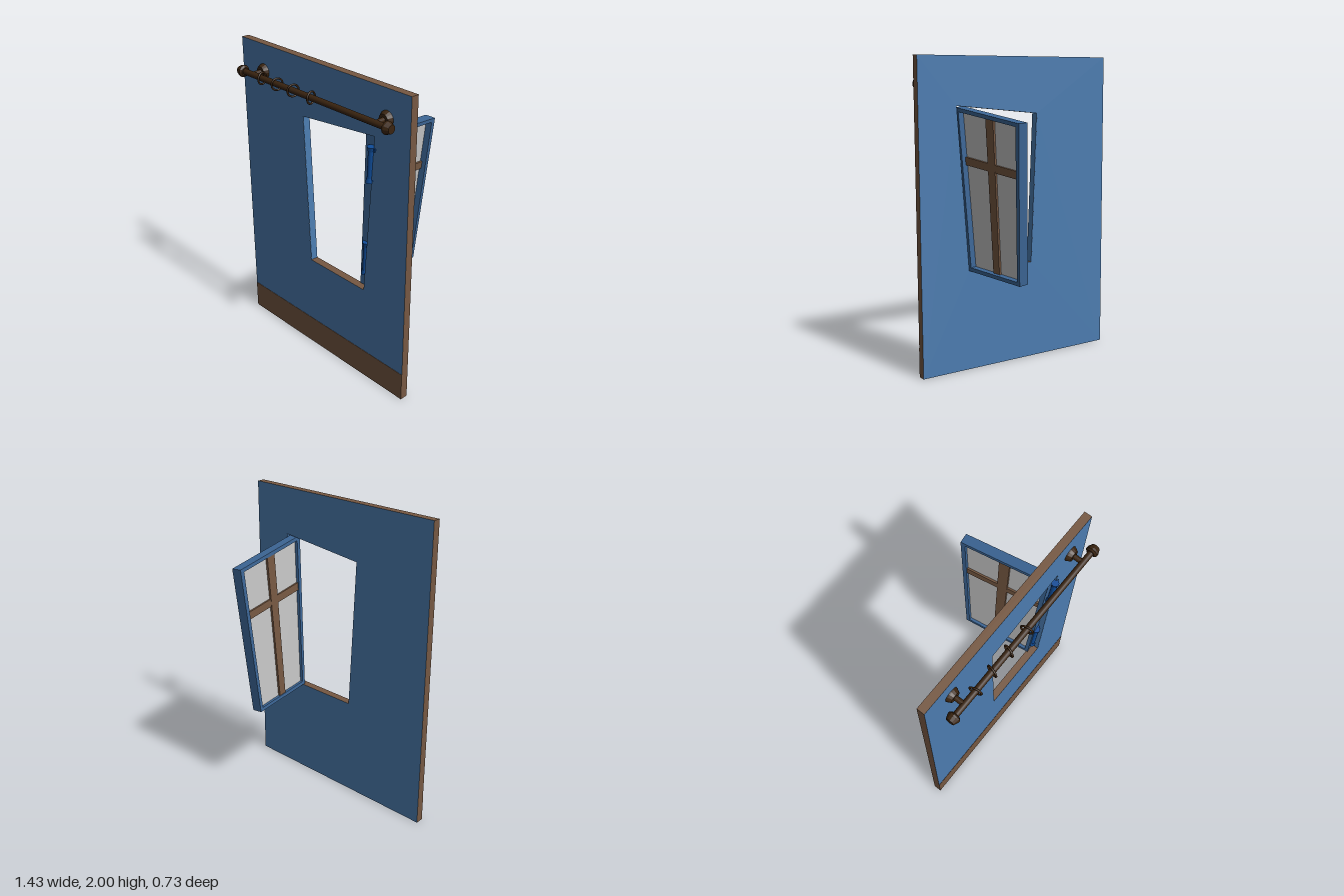
import * as THREE from 'three';

const mat = (name, color, side = THREE.FrontSide) => {
  const m = new THREE.MeshStandardMaterial({ color, side });
  m.name = name;
  return m;
};

export function createModel() {
  const root = new THREE.Group();
  root.name = 'wallWithOpenWindow';
  const wallBlue = mat('wallBlue', 0x4c7cb0);
  const wood = mat('wood', 0x765842);
  const frameBlue = mat('frameBlue', 0x3c6696);
  const hingeBlue = mat('hingeBlue', 0x0f4c98);
  const glass = mat('glass', 0xc6c6c6);
  const bronze = mat('bronze', 0x3a2410);

  const add = (parent, name, geo, material, pos = [0, 0, 0], rot = [0, 0, 0]) => {
    const m = new THREE.Mesh(geo, material);
    m.name = name;
    m.position.set(...pos);
    m.rotation.set(...rot);
    parent.add(m);
    return m;
  };

  // wall slab with a crooked opening
  const V = (x, y) => new THREE.Vector2(x, y);
  const hole = [V(-0.155, 1.635), V(0.45, 1.695), V(0.375, 0.65), V(-0.11, 0.65)];
  const shape = new THREE.Shape([V(-0.713, 0), V(0.713, 0), V(0.713, 2), V(-0.713, 2)]);
  shape.holes.push(new THREE.Path(hole));
  add(root, 'wall', new THREE.ExtrudeGeometry(shape, { depth: 0.05, bevelEnabled: false }),
    [wallBlue, wood], [0, 0, 0.185]);
  add(root, 'baseboard', new THREE.BoxGeometry(1.426, 0.19, 0.003), wood, [0, 0.095, 0.2355]);

  // painted linings on the two sides of the opening
  const lining = (name, a, b, inset) => {
    const len = a.distanceTo(b);
    add(root, name, new THREE.BoxGeometry(0.003, len, 0.049), wallBlue,
      [(a.x + b.x) / 2 + inset, (a.y + b.y) / 2, 0.21],
      [0, 0, -Math.atan2(a.x - b.x, a.y - b.y)]);
  };
  lining('rightLining', hole[0], hole[3], 0.001);
  lining('leftLining', hole[1], hole[2], -0.001);

  // window sash: u runs hinge to free edge, v bottom to top, w front to back
  const sash = new THREE.Group();
  sash.name = 'windowSash';
  root.add(sash);
  const v3 = (x, y, z) => new THREE.Vector3(x, y, z);
  const bottomHinge = v3(0.307, 0.655, 0.197), bottomFree = v3(0.24, 0.637, -0.278);
  const topHinge = v3(0.375, 1.69, 0.228), topFree = v3(0.298, 1.612, -0.358);
  const depth = v3(0.065, -0.004, -0.009);
  const sashPoint = (u, v, w) => bottomHinge.clone().lerp(bottomFree, u)
    .lerp(topHinge.clone().lerp(topFree, u), v).addScaledVector(depth, w);
  const block = (name, material, u0, u1, v0, v1, w0, w1) => {
    const g = new THREE.BoxGeometry(1, 1, 1);
    const p = g.attributes.position;
    for (let i = 0; i < p.count; i++) {
      const q = sashPoint(p.getX(i) < 0 ? u0 : u1, p.getY(i) < 0 ? v0 : v1, p.getZ(i) < 0 ? w0 : w1);
      p.setXYZ(i, q.x, q.y, q.z);
    }
    g.computeVertexNormals();
    add(sash, name, g, material);
  };
  block('hingeStile', frameBlue, 0, 0.05, 0, 1, 0, 1);
  block('freeStile', frameBlue, 0.95, 1, 0, 1, 0, 1);
  block('bottomRail', frameBlue, 0.05, 0.95, 0, 0.024, 0, 1);
  block('topRail', frameBlue, 0.05, 0.95, 0.976, 1, 0, 1);
  block('glassPane', glass, 0.05, 0.95, 0.024, 0.976, 0.3, 0.4);
  block('verticalBar', wood, 0.44, 0.56, 0.024, 0.976, 0.08, 0.62);
  block('horizontalBar', wood, 0.05, 0.95, 0.655, 0.704, 0.1, 0.6);

  // hinges on the sash edge
  [[0.418, 1.515, 0.236], [0.355, 0.86, 0.203]].forEach((pos, i) => {
    const hinge = new THREE.Group();
    hinge.name = i ? 'lowerHinge' : 'upperHinge';
    hinge.position.set(...pos);
    hinge.rotation.set(0.03, 0, -0.075);
    root.add(hinge);
    add(hinge, 'hingePin', new THREE.CylinderGeometry(0.017, 0.017, 0.2, 12), hingeBlue);
    for (const s of [-1, 1]) {
      add(hinge, 'hingeCap', new THREE.CylinderGeometry(s > 0 ? 0.024 : 0.018, s > 0 ? 0.018 : 0.024, 0.03, 12),
        hingeBlue, [0, s * 0.1, 0]);
      add(hinge, 'hingeTab', new THREE.BoxGeometry(0.03, 0.022, 0.012), hingeBlue, [0.018, s * 0.1, -0.004]);
    }
  });

  // curtain rod with finials, brackets and rings
  const rod = new THREE.Group();
  rod.name = 'curtainRod';
  rod.position.set(0.015, 1.828, 0.325);
  root.add(rod);
  add(rod, 'pole', new THREE.CylinderGeometry(0.019, 0.019, 1.2, 16), bronze, [0, 0, 0], [0, 0, Math.PI / 2]);
  const finial = new THREE.LatheGeometry(
    [V(0, 0), V(0.026, 0), V(0.038, 0.01), V(0.038, 0.022), V(0.026, 0.05), V(0, 0.05)], 12).toNonIndexed();
  finial.computeVertexNormals();
  const bracket = new THREE.LatheGeometry(
    [V(0, 0), V(0.048, 0), V(0.046, 0.008), V(0.034, 0.03), V(0.016, 0.03), V(0.016, 0.09), V(0, 0.09)], 16).toNonIndexed();
  bracket.computeVertexNormals();
  for (const s of [-1, 1]) {
    add(rod, 'finial', finial, bronze, [s * 0.595, 0, 0], [0, 0, -s * Math.PI / 2]);
    add(rod, 'bracket', bracket, bronze, [s * 0.524, 0, -0.09], [Math.PI / 2, 0, 0]);
  }
  [[-0.43, 0.2], [-0.29, -0.25], [-0.145, -0.3], [0.012, 0.2]].forEach(([x, tilt]) =>
    add(rod, 'curtainRing', new THREE.TorusGeometry(0.036, 0.006, 8, 20), bronze, [x, 0, 0], [0, Math.PI / 2 + tilt, 0]));

  return root;
}
